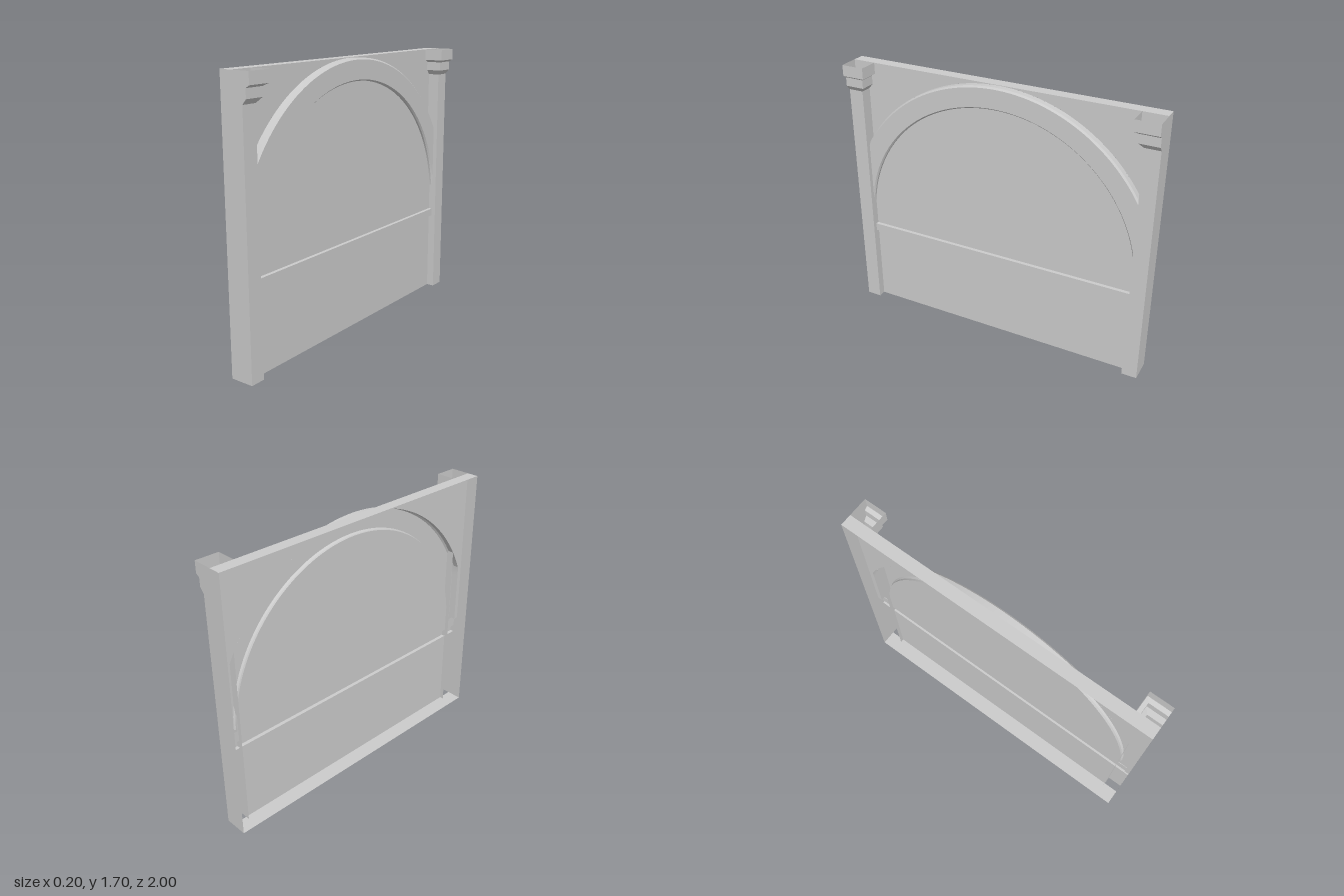
import * as THREE from 'three';
import { toCreasedNormals } from 'three/addons/utils/BufferGeometryUtils.js';

const BACK = -0.1, WALL = -0.025, PANEL = 0, RELIEF = 0.023, POST = 0.05; // depths along x
const TOP = 1.7, POST_Z = 0.904;
const ARCH_Y = 0.65, R_IN = 0.91, R_OUT = 1.047, ARCH_END = 0.97;
const RAIL_LOW = 0.528, RAIL_HIGH = 0.578;

const material = new THREE.MeshStandardMaterial({ color: 0xcccccc, side: THREE.DoubleSide });

function add(parent, name, geometry) {
  const mesh = new THREE.Mesh(geometry, material);
  mesh.name = name;
  parent.add(mesh);
  return mesh;
}

// Open surface joining rows of [x, y, z] points
function loft(rows) {
  const n = rows[0].length, index = [];
  for (let i = 0; i < rows.length - 1; i++) {
    for (let j = 0; j < n - 1; j++) {
      const a = i * n + j, b = a + 1, c = a + n, d = c + 1;
      index.push(a, b, d, a, d, c);
    }
  }
  const geometry = new THREE.BufferGeometry();
  geometry.setAttribute('position', new THREE.Float32BufferAttribute(rows.flat(2), 3));
  geometry.setIndex(index);
  return toCreasedNormals(geometry, 0.3);
}

// Flat sheet at depth x, facing +x
function sheet(shape, x) {
  return new THREE.ShapeGeometry(shape, 48).rotateY(Math.PI / 2).translate(x, 0, 0);
}

export function createModel() {
  const model = new THREE.Group();
  model.name = 'archedWallPanel';

  // Recessed wall above the arch
  const spandrel = new THREE.Shape();
  const end = Math.acos(ARCH_END / R_OUT);
  const endY = ARCH_Y + R_OUT * Math.sin(end);
  spandrel.moveTo(-1, TOP);
  spandrel.lineTo(-1, ARCH_Y);
  spandrel.lineTo(-ARCH_END, ARCH_Y);
  spandrel.lineTo(-ARCH_END, endY);
  spandrel.absarc(0, ARCH_Y, R_OUT, Math.PI - end, end, true);
  spandrel.lineTo(ARCH_END, ARCH_Y);
  spandrel.lineTo(1, ARCH_Y);
  spandrel.lineTo(1, TOP);
  add(model, 'spandrelWall', sheet(spandrel, WALL));

  // Panel under the arch
  const infill = new THREE.Shape();
  infill.moveTo(-1, RAIL_HIGH);
  infill.lineTo(1, RAIL_HIGH);
  infill.lineTo(1, ARCH_Y);
  infill.lineTo(R_IN, ARCH_Y);
  infill.absarc(0, ARCH_Y, R_IN, 0, Math.PI, false);
  infill.lineTo(-1, ARCH_Y);
  add(model, 'archInfill', sheet(infill, PANEL));

  // Panel below the rail
  add(model, 'lowerWall', new THREE.PlaneGeometry(2 * POST_Z, RAIL_LOW)
    .rotateY(Math.PI / 2).translate(PANEL, RAIL_LOW / 2, 0));

  // Top and bottom edges of the open-backed frame
  for (const [name, y, front, turn] of [['topEdge', TOP, WALL, -1], ['bottomEdge', 0, PANEL, 1]]) {
    add(model, name, new THREE.PlaneGeometry(front - BACK, 2)
      .rotateX(turn * Math.PI / 2).translate((front + BACK) / 2, y, 0));
  }

  // Raised arch band with small bevels, its feet cut off inside the posts
  const band = [[WALL, R_OUT], [0.013, R_OUT], [RELIEF, R_OUT - 0.01],
    [RELIEF, R_IN + 0.008], [0.013, R_IN], [PANEL, R_IN]];
  const archRows = [];
  for (let i = 0; i <= 96; i++) {
    const t = (i / 96 - 0.5) * Math.PI;
    archRows.push(band.map(([x, r]) => [x, ARCH_Y + r * Math.cos(t),
      THREE.MathUtils.clamp(r * Math.sin(t), -ARCH_END, ARCH_END)]));
  }
  add(model, 'archBand', loft(archRows));

  // Horizontal rail
  const rail = [[PANEL, RAIL_HIGH], [RELIEF, RAIL_HIGH], [RELIEF, RAIL_LOW], [PANEL, RAIL_LOW]];
  add(model, 'rail', loft([-1, 1].map((z) => rail.map(([x, y]) => [x, y, z]))));

  // Hollow corner posts with stepped capitals: [outward step, height]
  const steps = [[0, 0], [0, 1.53], [0.026, 1.56], [0.026, 1.615], [0.05, 1.63], [0.05, TOP]];
  const postRows = steps.map(([o, y]) => [
    [WALL, y, POST_Z - o], [POST + o, y, POST_Z - o], [POST + o, y, 1], [BACK, y, 1]]);
  const post = loft(postRows);
  add(model, 'frontPost', post);
  add(model, 'backPost', post).scale.z = -1;

  return model;
}
